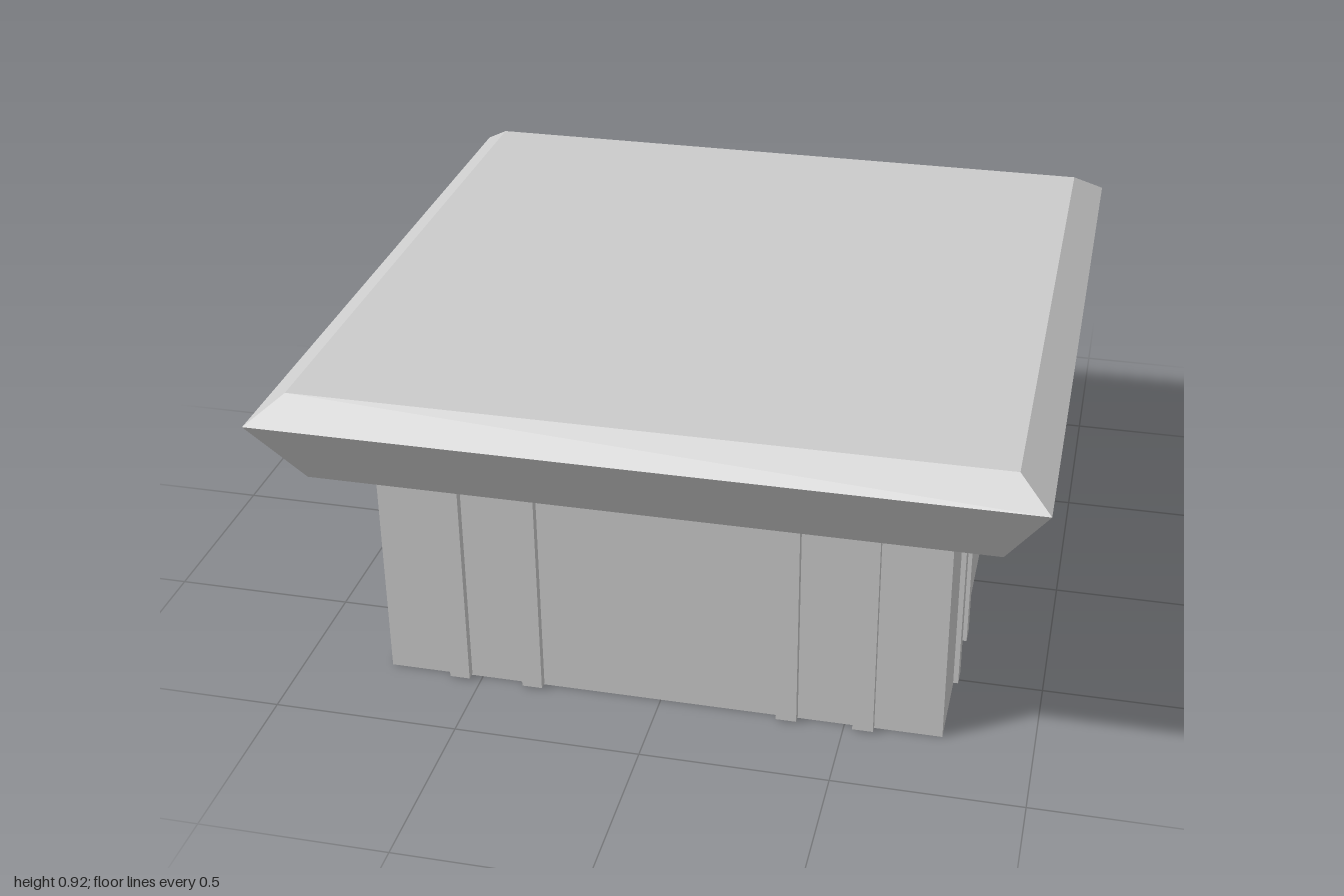
import * as THREE from 'three';

const material = new THREE.MeshStandardMaterial({ color: 0xcccccc, flatShading: true, side: THREE.DoubleSide });

// Square shell swept around y from [half width, height] points
function squareShell(name, profile) {
  const points = profile.map(([half, y]) => new THREE.Vector2(half * Math.SQRT2, y));
  const geometry = new THREE.LatheGeometry(points, 4, Math.PI / 4).toNonIndexed();
  geometry.computeVertexNormals();
  const mesh = new THREE.Mesh(geometry, material);
  mesh.name = name;
  return mesh;
}

// Upright strip set through a wall
function strip(name, width, depth, x, z) {
  const bottom = 0.005, top = 0.72;
  const mesh = new THREE.Mesh(new THREE.BoxGeometry(width, top - bottom, depth), material);
  mesh.position.set(x, (bottom + top) / 2, z);
  mesh.name = name;
  return mesh;
}

export function createModel() {
  const model = new THREE.Group();
  model.name = 'pedestalCap';

  // Hollow base, open underneath
  model.add(squareShell('baseWalls', [[0.76, 0], [0.76, 0.635]]));

  // Flared cornice with a bevelled, flat top
  model.add(squareShell('cornice', [[0.76, 0.635], [0.89, 0.66], [1, 0.853], [0.915, 0.915], [0, 0.915]]));

  // Two pairs of strips on each wall
  const strips = new THREE.Group();
  strips.name = 'wallStrips';
  for (const side of [-1, 1]) {
    for (const mirror of [-1, 1]) {
      for (const x of [0.35, 0.555]) {
        strips.add(strip(side > 0 ? 'frontStrip' : 'backStrip', 0.055, 0.055, mirror * x - 0.003, side * 0.757));
      }
      for (const z of [0.292, 0.495]) {
        strips.add(strip(side > 0 ? 'leftStrip' : 'rightStrip', 0.055, 0.055, side * 0.746, mirror * z));
      }
    }
  }
  model.add(strips);
  return model;
}
